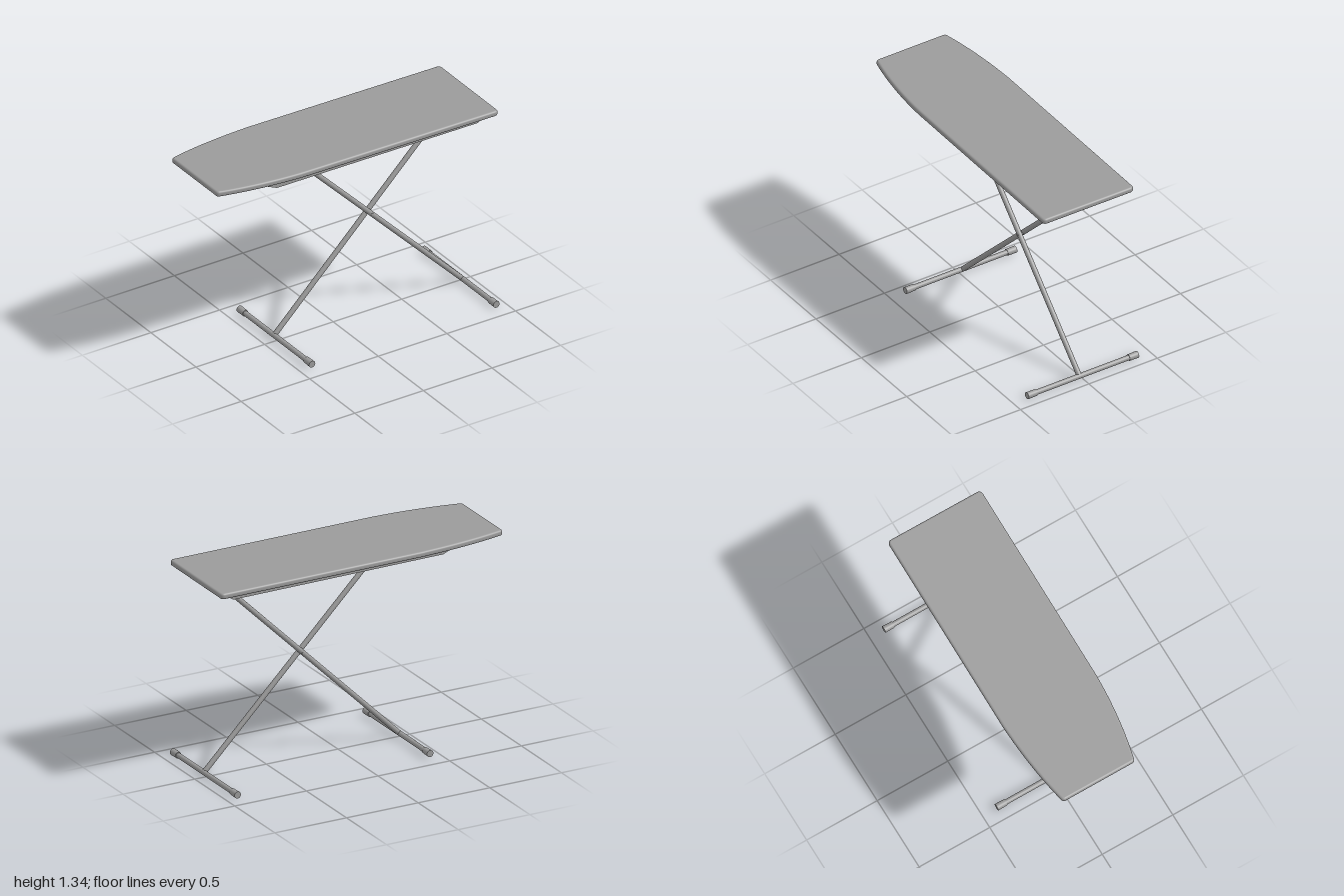
import * as THREE from 'three';
import { mergeVertices } from 'three/addons/utils/BufferGeometryUtils.js';

const material = new THREE.MeshStandardMaterial({ color: 0x9b9b9b });

function addMesh(parent, name, geometry) {
  const mesh = new THREE.Mesh(geometry, material);
  mesh.name = name;
  parent.add(mesh);
  return mesh;
}

// Round bar between two points, given as [x, y, z]
function addBar(parent, name, from, to, r0, r1 = r0) {
  const a = new THREE.Vector3(...from);
  const b = new THREE.Vector3(...to);
  const dir = b.clone().sub(a);
  const mesh = addMesh(parent, name, new THREE.CylinderGeometry(r1, r0, dir.length(), 24));
  mesh.position.copy(a).add(b).multiplyScalar(0.5);
  mesh.quaternion.setFromUnitVectors(new THREE.Vector3(0, 1, 0), dir.normalize());
  return mesh;
}

// Padded top with a tapered nose, a straight tail and rounded rims
function boardGeometry() {
  const bevel = 0.013;
  const s = new THREE.Shape();
  s.moveTo(-0.985, 0.211);
  s.quadraticCurveTo(-0.985, 0.219, -0.977, 0.221);
  s.bezierCurveTo(-0.8, 0.266, -0.6, 0.294, -0.4, 0.301);
  s.lineTo(0.968, 0.31);
  s.quadraticCurveTo(0.982, 0.31, 0.982, 0.296);
  s.lineTo(0.985, -0.31);
  s.quadraticCurveTo(0.985, -0.324, 0.971, -0.324);
  s.lineTo(-0.4, -0.333);
  s.bezierCurveTo(-0.6, -0.327, -0.8, -0.308, -0.977, -0.269);
  s.quadraticCurveTo(-0.985, -0.267, -0.985, -0.259);
  s.closePath();
  const g = new THREE.ExtrudeGeometry(s, {
    depth: 0.037 - 2 * bevel, bevelThickness: bevel, bevelSize: bevel,
    bevelSegments: 5, curveSegments: 16,
  });
  g.rotateX(Math.PI / 2);
  g.center();
  g.translate(0, 0, -0.009);
  // Shared corners give smooth rims, while the large faces stay flat
  g.deleteAttribute('uv');
  g.deleteAttribute('normal');
  const smooth = mergeVertices(g, 1e-5);
  smooth.computeVertexNormals();
  return smooth;
}

// Under-board rail with sloping ends
function railGeometry() {
  const s = new THREE.Shape();
  s.moveTo(-0.69, -0.016);
  s.lineTo(-0.585, -0.0615);
  s.lineTo(0.88, -0.0615);
  s.lineTo(0.95, -0.016);
  s.closePath();
  const g = new THREE.ExtrudeGeometry(s, { depth: 0.05, bevelEnabled: false });
  g.translate(0, 0, -0.025);
  return g;
}

export function createModel() {
  const model = new THREE.Group();
  model.name = 'ironingBoard';

  // Table top, tilted very slightly toward its square end
  const top = new THREE.Group();
  top.name = 'tableTop';
  top.position.y = 1.317;
  top.rotation.z = -0.006;
  model.add(top);
  addMesh(top, 'board', boardGeometry());
  const rail = railGeometry();
  for (const side of [1, -1]) {
    addMesh(top, side > 0 ? 'leftRail' : 'rightRail', rail).position.z = side * 0.243;
  }

  // Two crossing legs, each a T at both ends
  const legs = [
    { name: 'noseTopLeg', foot: [0.925, 0.023], head: [-0.315, 1.273], z: 0.018 },
    { name: 'tailTopLeg', foot: [-0.418, 0.03], head: [0.845, 1.271], z: -0.017 },
  ];
  for (const { name, foot, head, z } of legs) {
    const leg = new THREE.Group();
    leg.name = name;
    model.add(leg);
    addBar(leg, 'legTube', [...foot, z * 1.1], [...head, z * 0.9], 0.0165);
    addBar(leg, 'crossbar', [...head, -0.225], [...head, 0.225], 0.014);
    addBar(leg, 'footBar', [...foot, -0.36], [...foot, 0.36], 0.0165);
    for (const side of [1, -1]) {
      addBar(leg, 'footCap', [...foot, side * 0.338], [...foot, side * 0.403], 0.021, 0.0225);
    }
  }

  // Pivot pin where the legs cross
  addBar(model, 'pivotPin', [0.264, 0.69, -0.035], [0.264, 0.69, 0.035], 0.008);

  return model;
}
